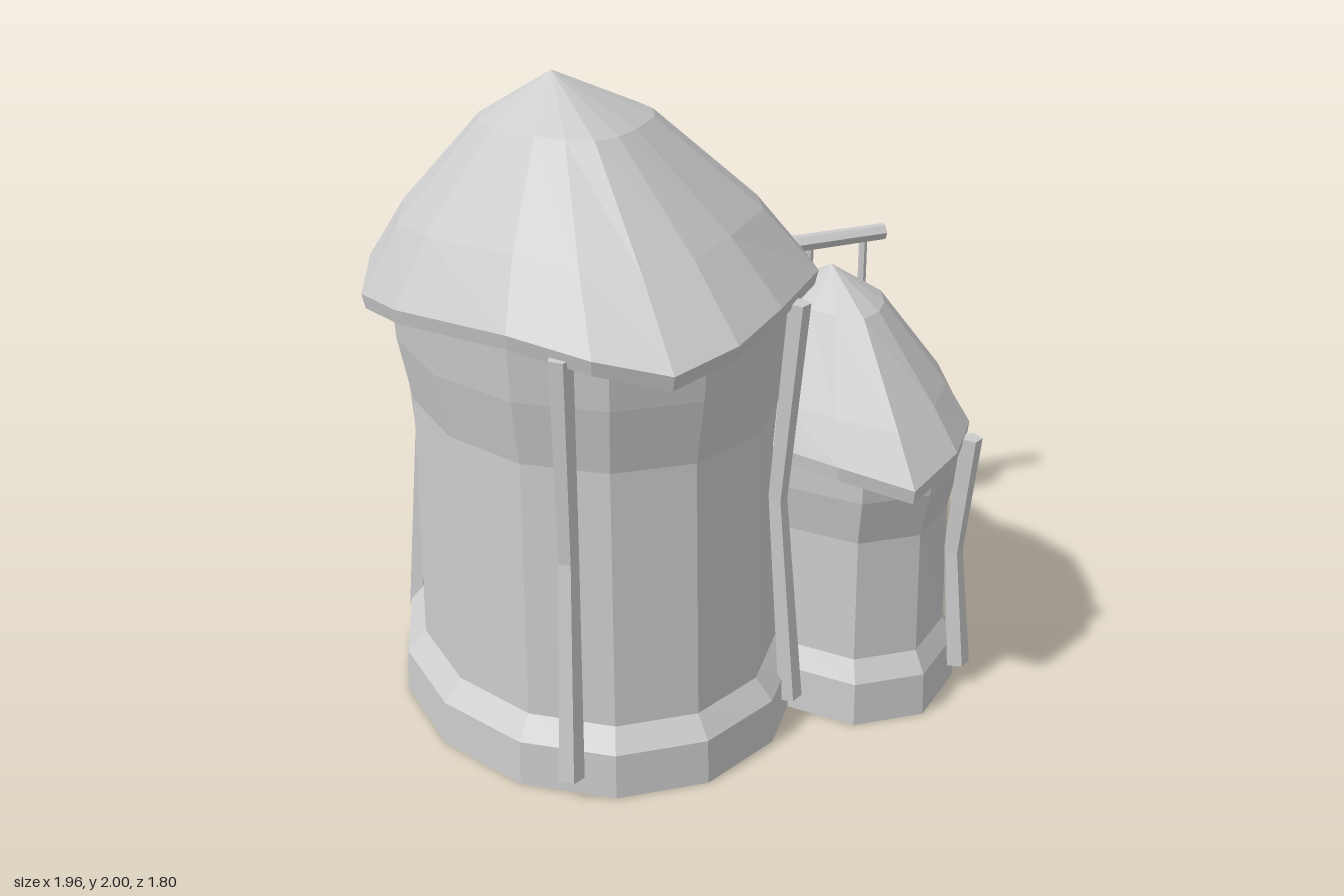
import * as THREE from 'three';

const stone = new THREE.MeshStandardMaterial({ color: 0xcccccc, flatShading: true, side: THREE.DoubleSide });
stone.name = 'pale grey';

// Skin a list of closed loops (arrays of Vector3), ordered bottom to top
function loft(loops) {
  const n = loops[0].length, pos = [], idx = [];
  loops.forEach(l => l.forEach(p => pos.push(p.x, p.y, p.z)));
  for (let r = 0; r < loops.length - 1; r++) {
    for (let i = 0; i < n; i++) {
      const a = r * n + i, b = r * n + (i + 1) % n;
      idx.push(a, b, a + n, b, b + n, a + n);
    }
  }
  const g = new THREE.BufferGeometry();
  g.setAttribute('position', new THREE.Float32BufferAttribute(pos, 3));
  g.setIndex(idx);
  const flat = g.toNonIndexed();
  flat.computeVertexNormals();
  return flat;
}

// Capped beam along a bent path; each point is [x, y, z, radius]
function beam(path, sides) {
  const pts = path.map(p => new THREE.Vector3(p[0], p[1], p[2]));
  const up = new THREE.Vector3(0, 1, 0);
  const loops = pts.map((p, i) => {
    const dir = pts[Math.min(i + 1, pts.length - 1)].clone().sub(pts[Math.max(i - 1, 0)]).normalize();
    const q = new THREE.Quaternion().setFromUnitVectors(up, dir);
    return Array.from({ length: sides }, (_, k) => {
      const t = k / sides * Math.PI * 2;
      return new THREE.Vector3(Math.sin(t), 0, Math.cos(t)).multiplyScalar(path[i][3]).applyQuaternion(q).add(p);
    });
  });
  const cap = p => Array.from({ length: sides }, () => p.clone());
  return loft([cap(pts[0]), ...loops, cap(pts[pts.length - 1])]);
}

// Oval wall; profile rows are [y, rx, rz]
function wall(cx, cz, sides, profile) {
  return loft(profile.map(([y, rx, rz]) => Array.from({ length: sides }, (_, i) => {
    const t = (i + 0.5) / sides * Math.PI * 2;
    return new THREE.Vector3(cx + Math.sin(t) * rx, y, cz + Math.cos(t) * rz);
  })));
}

// Wavy roof; quarter rows are [x, z, lift] from +z round to +x, rings are [cx, y, cz, rx, rz, lift amount]
function roof(quarter, rings) {
  const back = quarter.slice(0, -1).reverse().map(([x, z, l]) => [x, -z, l]);
  const half = [...quarter, ...back];
  const full = [...half, ...half.slice(1, -1).reverse().map(([x, z, l]) => [-x, z, l])];
  return loft(rings.map(([cx, y, cz, rx, rz, k]) =>
    full.map(([x, z, l]) => new THREE.Vector3(cx + x * rx, y + l * k, cz + z * rz))));
}

export function createModel() {
  const model = new THREE.Group();
  const add = (name, geometry, parent = model) => {
    const m = new THREE.Mesh(geometry, stone);
    m.name = name;
    parent.add(m);
    return m;
  };

  // Large hut
  add('largeWall', wall(-0.28, 0, 14, [
    [0, 0.63, 0.79], [0.14, 0.625, 0.785], [0.205, 0.565, 0.73],
    [1, 0.56, 0.71], [1.2, 0.6, 0.75], [1.38, 0.615, 0.77]]));
  add('largeRoof', roof(
    [[0, 1, 0], [0.29, 0.91, 0.035], [0.56, 0.7, 0.06], [0.91, 0.3, 0.035], [1, 0, 0]],
    [[-0.28, 1.34, 0, 0.58, 0.74, 0.6], [-0.28, 1.305, 0, 0.685, 0.885, 1], [-0.28, 1.35, 0, 0.695, 0.9, 1],
      [-0.31, 1.56, 0.02, 0.55, 0.69, 0.5], [-0.36, 1.86, 0.06, 0.26, 0.34, 0], [-0.41, 2, 0.1, 0, 0, 0]]));

  // Small hut
  add('smallWall', wall(0.5, 0.11, 10, [
    [0, 0.375, 0.52], [0.14, 0.37, 0.515], [0.205, 0.335, 0.47],
    [0.6, 0.33, 0.46], [0.75, 0.355, 0.5], [0.87, 0.36, 0.51]]));
  add('smallRoof', roof(
    [[0, 1, 0], [0.46, 0.79, 0.045], [0.8, 0.44, 0.045], [1, 0, 0]],
    [[0.5, 0.83, 0.11, 0.34, 0.49, 0.6], [0.5, 0.79, 0.11, 0.405, 0.595, 1], [0.5, 0.835, 0.11, 0.41, 0.605, 1],
      [0.485, 0.98, 0.12, 0.345, 0.49, 0.5], [0.455, 1.26, 0.155, 0.15, 0.235, 0], [0.43, 1.37, 0.18, 0, 0, 0]]));

  // Posts leaning in at mid height towards their hut
  const posts = [
    ['largePost', -0.28, 0, 1.37, [[-0.8, -0.45], [0.22, -0.48], [0.21, 0.49], [-0.545, 0.73]]],
    ['smallPost', 0.5, 0.11, 0.86, [[0.8, -0.21], [0.8, 0.45]]]];
  for (const [name, cx, cz, top, spots] of posts) {
    for (const [x, z] of spots) {
      const mx = x + (cx - x) * 0.08, mz = z + (cz - z) * 0.08;
      add(name, beam([[x, 0.07, z, 0.04], [mx, top * 0.54, mz, 0.031], [x, top, z, 0.036]], 5));
    }
  }

  // Pointed door at the back with its lantern
  const s = new THREE.Shape([[-0.23, 0], [0.23, 0], [0.23, 0.36], [0.15, 0.57], [0, 0.72], [-0.15, 0.57], [-0.23, 0.36]]
    .map(p => new THREE.Vector2(...p)));
  add('door', new THREE.ExtrudeGeometry(s, { depth: 0.1, bevelEnabled: false })).position.set(-0.29, 0, -0.78);
  add('lantern', beam([[0.02, 0.05, -0.72, 0.022], [0.02, 0.09, -0.72, 0.042], [0.02, 0.14, -0.72, 0.038], [0.02, 0.2, -0.72, 0.008]], 6));

  // Hanging sign
  const sign = new THREE.Group();
  sign.name = 'hangingSign';
  model.add(sign);
  add('signPost', beam([[0.545, 0.03, -0.6, 0.06], [0.52, 0.98, -0.655, 0.04], [0.63, 1.165, -0.665, 0.033], [0.965, 1.18, -0.675, 0.03]], 6), sign);
  for (const x of [0.68, 0.885]) {
    add('signHanger', beam([[x, 0.96, -0.672, 0.015], [x, 1.17, -0.672, 0.015]], 6), sign);
  }
  const section = [[0.15, -0.025], [0.2, -0.025], [0.2, 0.025], [0.15, 0.025], [0.15, -0.025]];
  const ring = add('signRing', new THREE.LatheGeometry(section.map(p => new THREE.Vector2(...p)), 16), sign);
  ring.rotation.x = Math.PI / 2;
  ring.position.set(0.78, 0.8, -0.672);
  const gem = add('signDiamond', new THREE.OctahedronGeometry(1), sign);
  gem.scale.set(0.035, 0.155, 0.065);
  gem.position.set(0.79, 0.8, -0.668);

  return model;
}
